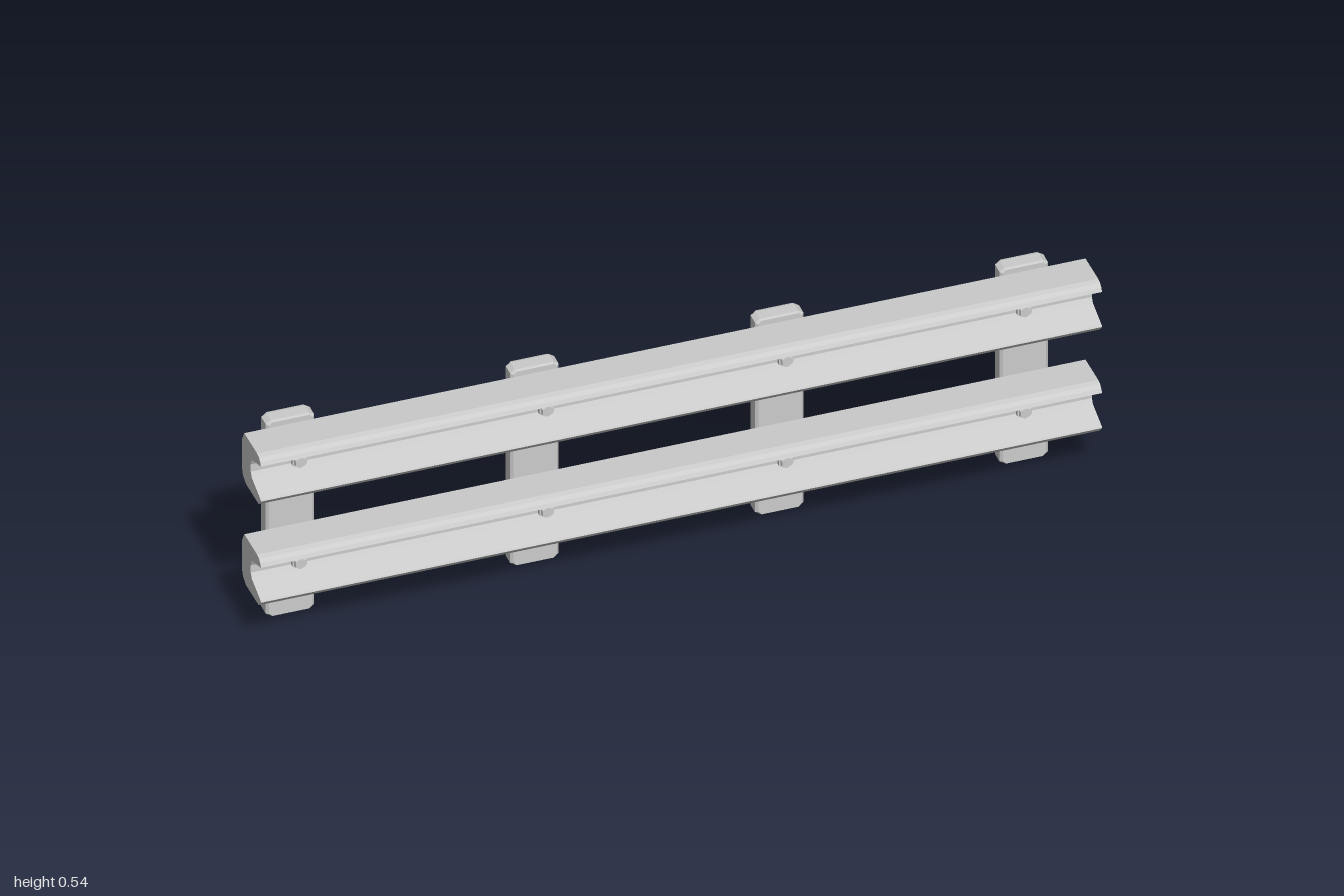
import * as THREE from 'three';

const mat = new THREE.MeshStandardMaterial({ color: 0xcccccc, flatShading: true });

function add(parent, geometry, name, x = 0, y = 0, z = 0) {
  const mesh = new THREE.Mesh(geometry, mat);
  mesh.name = name;
  mesh.position.set(x, y, z);
  parent.add(mesh);
  return mesh;
}

// Rail cross-section as [z, y], y measured from the bolt line
const railProfile = [
  [0.096, 0.051], [0.091, 0.06], [0.083, 0.067], [0.07, 0.07], [-0.016, 0.067],
  [-0.025, 0.052], [-0.032, 0.038], [-0.032, -0.038], [-0.025, -0.056], [-0.004, -0.066],
  [0.081, -0.063], [0.096, -0.046], [0.094, -0.042], [0.035, -0.022], [0.027, -0.01],
  [0.027, 0.01], [0.035, 0.028],
];

function railGeometry() {
  const shape = new THREE.Shape(railProfile.map(([z, y]) => new THREE.Vector2(-z, y)));
  const g = new THREE.ExtrudeGeometry(shape, { depth: 1.996, bevelEnabled: false });
  return g.rotateY(Math.PI / 2).translate(-1, 0, 0);
}

// Flat post with clipped corners and bevelled edges
function postGeometry(w, h, d) {
  const b = 0.006, c = 0.008, x = w / 2 - b, y0 = 0.002, y1 = h - 0.002;
  const shape = new THREE.Shape([
    [-x + c, y0], [x - c, y0], [x, y0 + c], [x, y1 - c],
    [x - c, y1], [-x + c, y1], [-x, y1 - c], [-x, y0 + c],
  ].map(([px, py]) => new THREE.Vector2(px, py)));
  const g = new THREE.ExtrudeGeometry(shape, {
    depth: d - 2 * b, bevelThickness: b, bevelSize: b, bevelSegments: 1,
  });
  g.translate(0, 0, b - d / 2);
  // Keep the ends flush with the full height
  const p = g.attributes.position;
  for (let i = 0; i < p.count; i++) p.setY(i, Math.min(h, Math.max(0, p.getY(i))));
  g.computeVertexNormals();
  return g;
}

const hex = (r0, r1, depth) => new THREE.CylinderGeometry(r1, r0, depth, 6).rotateX(Math.PI / 2);

export function createModel() {
  const model = new THREE.Group();
  model.name = 'guardRail';

  const rail = railGeometry();
  const post = postGeometry(0.115, 0.54, 0.042);
  const nut = hex(0.02, 0.02, 0.014);
  const boltEnd = hex(0.017, 0.014, 0.01);
  const postX = [-0.884, -0.304, 0.277, 0.857];
  const boltX = [-0.887, -0.301, 0.267, 0.833];

  for (const x of postX) add(model, post, 'post', x, 0, -0.053);

  for (const y of [0.47, 0.19]) {
    add(model, rail, 'rail', 0, y, 0);
    for (const x of boltX) {
      // Front bolt head, sitting in the channel
      const front = new THREE.Group();
      front.name = 'frontBolt';
      front.position.set(x, y, 0);
      add(front, nut, 'boltHead', 0, 0, 0.031);
      add(front, boltEnd, 'boltTip', 0, 0, 0.041);
      // Back nut with the protruding bolt end
      const back = new THREE.Group();
      back.name = 'backBolt';
      back.position.set(x, y, 0);
      add(back, nut, 'nut', 0, 0, -0.08);
      add(back, boltEnd, 'boltTip', 0, 0, -0.091).rotation.y = Math.PI;
      model.add(front, back);
    }
  }
  return model;
}
